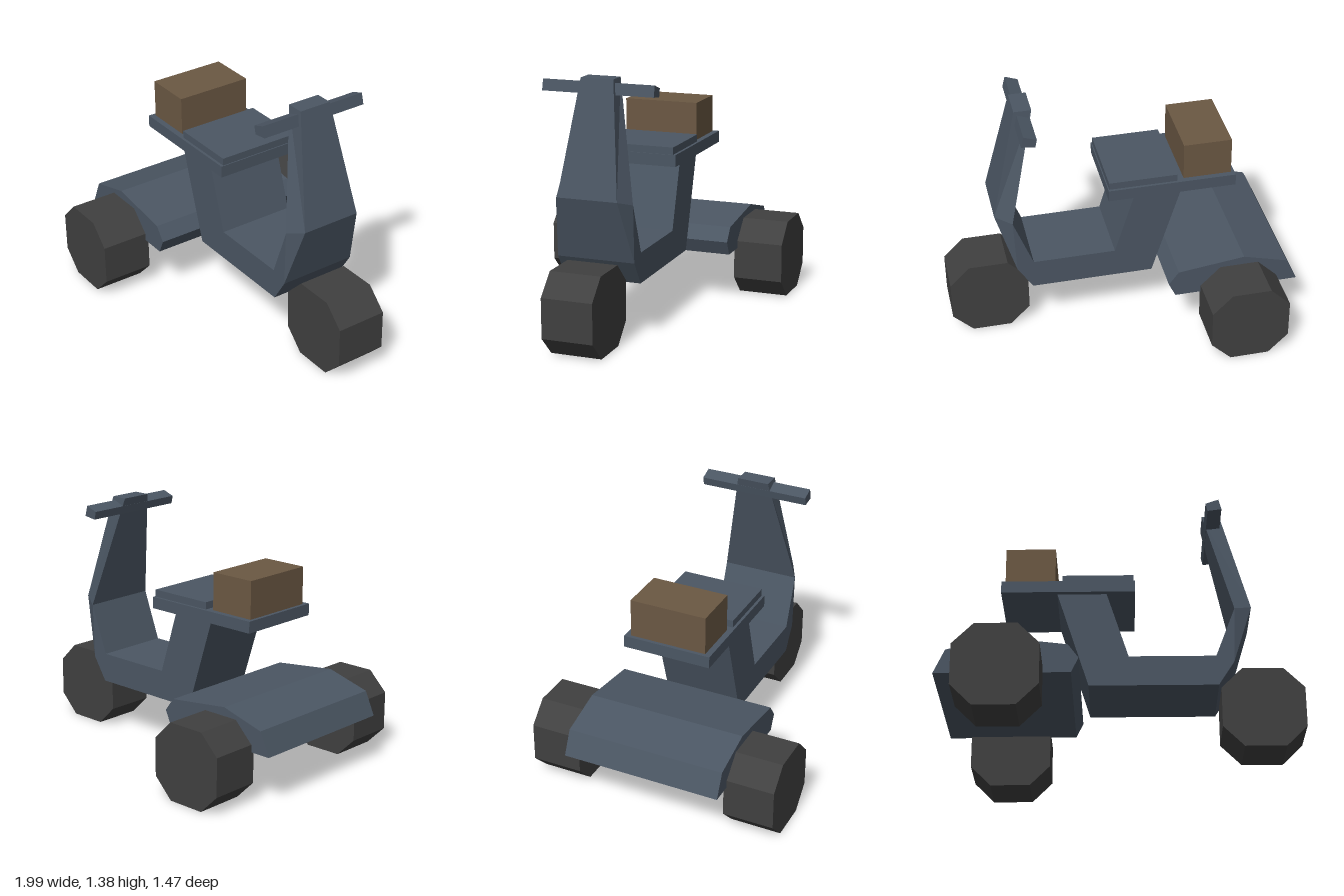
import * as THREE from 'three';

const mat = (color) => new THREE.MeshStandardMaterial({ color, flatShading: true });

// Side profile [forward, up] swept across the vehicle, centred on z = 0
function prism(points, width) {
  const shape = new THREE.Shape(points.map(([x, y]) => new THREE.Vector2(x, y)));
  const geo = new THREE.ExtrudeGeometry(shape, { depth: width, bevelEnabled: false });
  return geo.translate(0, 0, -width / 2);
}

function block(x0, x1, y0, y1, width) {
  return new THREE.BoxGeometry(x1 - x0, y1 - y0, width).translate((x0 + x1) / 2, (y0 + y1) / 2, 0);
}

export function createModel() {
  const group = new THREE.Group();
  const body = mat(0x4b5663), rubber = mat(0x404040), crate = mat(0x6b5843);

  // The trike is built along +x, then turned and placed
  const trike = new THREE.Group();
  trike.name = 'trike';
  const turn = THREE.MathUtils.degToRad(20.5);
  trike.rotation.y = -turn;
  trike.position.set(-0.185 * Math.sin(turn), 0, 0.185 * Math.cos(turn));
  group.add(trike);

  const add = (name, geo, material, x = 0, y = 0, z = 0) => {
    const mesh = new THREE.Mesh(geo, material);
    mesh.name = name;
    mesh.position.set(x, y, z);
    trike.add(mesh);
  };

  // Frame: seat post, floor and front shield; third value is the half width
  const W = 0.215;
  const frame = [
    [-0.217, 0.84, W], [-0.05, 0.31, W], [0.625, 0.31, W], [0.708, 0.44, W],
    [0.812, 0.78, 0.165], [0.665, 1.38, 0.09], [0.57, 1.38, 0.09], [0.72, 0.75, W],
    [0.616, 0.475, W], [0.159, 0.475, W], [0.045, 0.84, W],
  ];
  const frameGeo = prism(frame, 2 * W);
  const pos = frameGeo.attributes.position;
  for (let i = 0; i < pos.count; i++) {
    const near = frame.find(([x, y]) => Math.hypot(x - pos.getX(i), y - pos.getY(i)) < 0.001);
    pos.setZ(i, Math.sign(pos.getZ(i)) * near[2]);
  }
  frameGeo.computeVertexNormals();
  add('frame', frameGeo, body);

  // Rear fender over the axle
  add('rearFender', prism([
    [-0.832, 0.285], [-0.133, 0.285], [-0.095, 0.365],
    [-0.15, 0.44], [-0.522, 0.485], [-0.773, 0.415],
  ], 0.885), body);

  // Handlebar, slightly tilted
  add('handlebar', prism([[0.59, 1.29], [0.665, 1.3], [0.65, 1.36], [0.58, 1.335]], 0.616), body);

  // Seat and cargo
  add('seatBase', block(-0.515, 0.195, 0.84, 0.905, 0.49), body);
  add('seatCushion', block(-0.19, 0.189, 0.9, 0.945, 0.46), body);
  add('cargoBox', block(-0.495, -0.228, 0.9, 1.115, 0.425), crate);

  // Eight-sided wheels
  const r = 0.218, c = 0.108;
  const wheel = prism([
    [-c, -r], [c, -r], [r, -c], [r, c], [c, r], [-c, r], [-r, c], [-r, -c],
  ], 0.28);
  add('frontWheel', wheel, rubber, 0.86, r, 0);
  for (const side of [-1, 1]) {
    add(side < 0 ? 'rearWheelLeft' : 'rearWheelRight', wheel, rubber, -0.495, r, side * 0.565);
  }
  return group;
}
